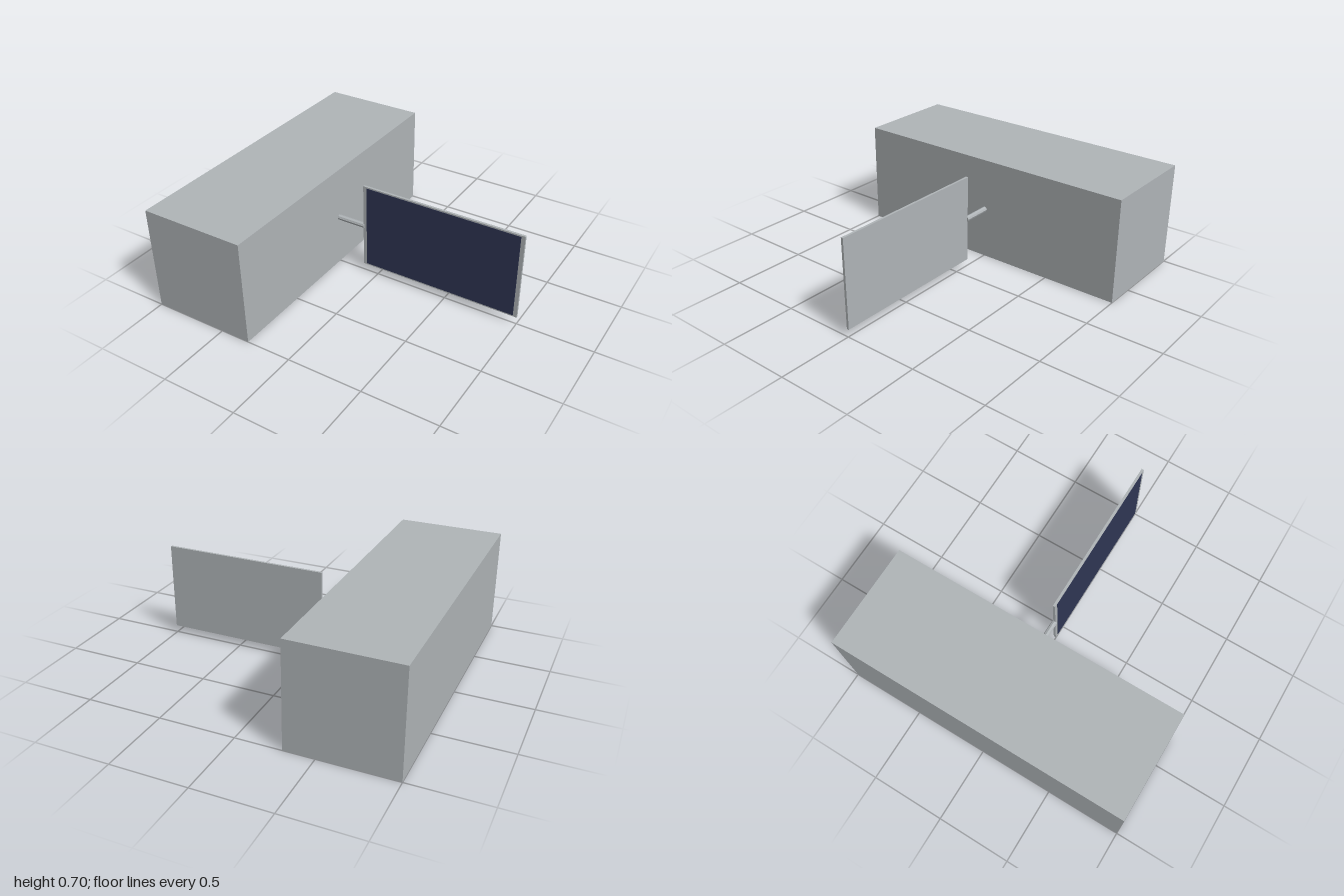
import * as THREE from 'three';

const grey = new THREE.MeshStandardMaterial({ color: 0xb0b5b8 });
grey.name = 'metalGrey';
const navy = new THREE.MeshStandardMaterial({ color: 0x2f3654 });
navy.name = 'cellNavy';

function part(name, geometry, material, x, y, z) {
  const mesh = new THREE.Mesh(geometry, material);
  mesh.name = name;
  mesh.position.set(x, y, z);
  return mesh;
}

export function createModel() {
  const model = new THREE.Group();
  model.name = 'bodyWithSolarPanel';
  const midY = 0.35;

  // Long box body, on the right side of the model
  model.add(part('body', new THREE.BoxGeometry(0.7, 0.7, 2), grey, -0.65, midY, 0));

  // Thin boom joining the body to the panel
  const boom = new THREE.CylinderGeometry(0.018, 0.018, 0.2, 8).rotateZ(Math.PI / 2).toNonIndexed();
  boom.computeVertexNormals();
  model.add(part('boom', boom, grey, -0.2, midY, 0));

  // Panel backing with a thin sheet of cells on its front
  const panel = new THREE.Group();
  panel.name = 'panel';
  panel.position.set(0.447, midY, 0);
  panel.add(part('panelBacking', new THREE.BoxGeometry(1.105, 0.594, 0.016), grey, 0, 0, 0));
  panel.add(part('panelCells', new THREE.BoxGeometry(1.055, 0.575, 0.003), navy, 0, 0, 0.0085));
  model.add(panel);

  return model;
}
